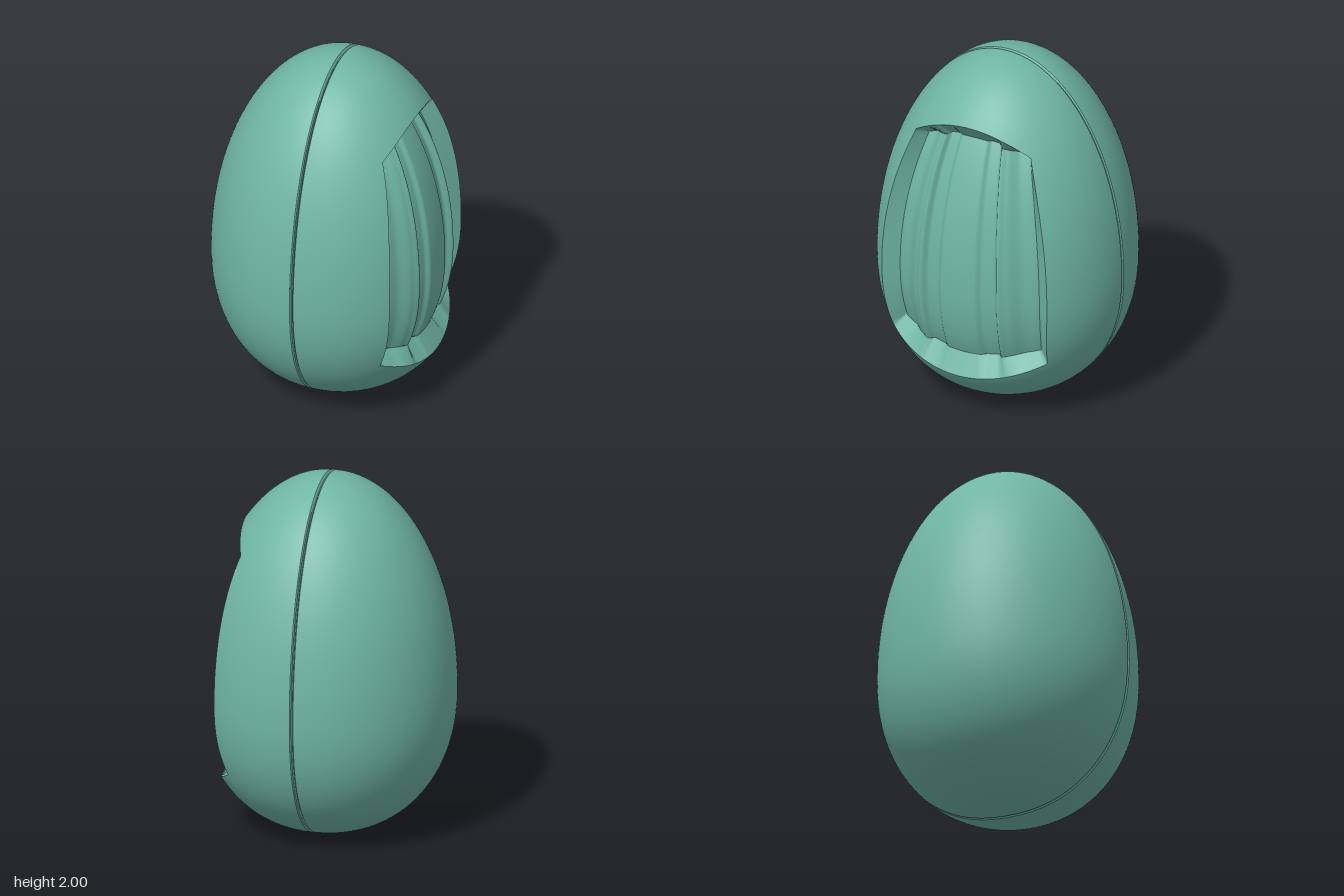
import * as THREE from 'three';

const { lerp } = THREE.MathUtils;
const SQUASH = 0.98;          // egg is slightly narrower in x
const LEFT_X = 0.05, RIGHT_X = 0.071; // open edges of the two halves
const MID_Y = 0.9;
const material = new THREE.MeshStandardMaterial({ color: 0x6fb5a5 });

// Egg radius at a height
function radius(y) {
  if (y <= 0 || y >= 2) return 0;
  return y < 0.8
    ? 0.703 * Math.pow(1 - Math.pow((0.8 - y) / 0.8, 2.2), 1 / 2.2)
    : 0.703 * Math.sqrt(1 - ((y - 0.8) / 1.2) ** 2);
}

// Distance of the egg surface from the split plane
const bulge = (y, z) => SQUASH * Math.sqrt(Math.max(0, radius(y) ** 2 - z * z));

// Smooth surface through rows of points; closed rows wrap around
function loft(name, rows, closed) {
  const n = rows[0].length, index = [];
  for (let i = 0; i < rows.length - 1; i++) {
    for (let k = 0; k < (closed ? n : n - 1); k++) {
      const a = i * n + k, a2 = i * n + (k + 1) % n;
      index.push(a, a + n, a2 + n, a, a2 + n, a2);
    }
  }
  const geometry = new THREE.BufferGeometry().setFromPoints(rows.flat());
  geometry.setIndex(index);
  geometry.computeVertexNormals();
  const mesh = new THREE.Mesh(geometry, material);
  mesh.name = name;
  return mesh;
}

// Four-sided outline with bowed edges: u runs across (-1..1), v runs up (0..1)
const RIM = { y0: 0.27, dy0: 0.13, y1: 1.73, dy1: 0.12, w0: 0.47, w1: 0.35, bow: 0.085 };
const FLOOR = { y0: 0.39, dy0: 0.06, y1: 1.64, dy1: 0.07, w0: 0.41, w1: 0.31, bow: 0.055 };
function patch(s, u, v) {
  const y = lerp(s.y0 + s.dy0 * u * u, s.y1 - s.dy1 * u * u, v);
  const z = u * (lerp(s.w0, s.w1, v) + s.bow * 4 * v * (1 - v));
  return { y, z };
}

// Depth of the ribbed floor below the egg surface
const RIBS = [[0, 0.13], [0.24, 0.13], [0.31, 0.148], [0.47, 0.148], [0.56, 0.105], [0.64, 0.115], [0.82, 0.14], [1, 0.13]];
function ribDepth(u) {
  const a = Math.abs(u);
  const i = Math.max(1, RIBS.findIndex(p => p[0] >= a - 1e-9));
  const [u0, d0] = RIBS[i - 1], [u1, d1] = RIBS[i];
  return lerp(d0, d1, THREE.MathUtils.smoothstep(a, u0, u1));
}
function floorPoint(u, v) {
  const { y, z } = patch(FLOOR, u, v);
  return new THREE.Vector3(RIGHT_X + bulge(y, z) - ribDepth(u), y, z);
}

// Point on the split outline, along the ray from the middle through (y, z)
function outlinePoint({ y, z }) {
  const length = Math.hypot(y - MID_Y, z);
  const dy = (y - MID_Y) / length, dz = z / length;
  let lo = 0, hi = 1.5;
  for (let i = 0; i < 40; i++) {
    const m = (lo + hi) / 2;
    if (radius(MID_Y + dy * m) > Math.abs(dz * m)) lo = m; else hi = m;
  }
  return { y: MID_Y + dy * lo, z: dz * lo };
}

export function createModel() {
  const group = new THREE.Group();
  group.name = 'splitEgg';

  // Perimeter of the recess: bottom, side, top, side
  const N = 50, edge = [];
  for (let side = 0; side < 4; side++) {
    for (let i = 0; i < N; i++) {
      const t = i / N;
      edge.push([[1 - 2 * t, 0], [-1, t], [2 * t - 1, 1], [1, 1 - t]][side]);
    }
  }
  const rim = edge.map(([u, v]) => patch(RIM, u, v));
  const outline = rim.map(outlinePoint);

  // Outer skin of the right-hand half, from the recess rim to the split
  const skin = [];
  for (let i = 0; i <= 30; i++) {
    const s = Math.sin(i / 30 * Math.PI / 2);
    skin.push(rim.map((p, k) => {
      const q = outline[k], y = lerp(p.y, q.y, s), z = lerp(p.z, q.z, s);
      return new THREE.Vector3(RIGHT_X + (i === 30 ? 0 : bulge(y, z)), y, z);
    }));
  }
  const front = new THREE.Group();
  front.name = 'recessedHalf';
  front.add(loft('recessedShell', skin, true));

  // Sloping wall of the recess
  front.add(loft('recessWall', [edge.map(([u, v]) => floorPoint(u, v)), skin[0]], true));

  // Ribbed floor of the recess
  const floor = [];
  for (let j = 0; j <= 50; j++) {
    const row = [];
    for (let i = 0; i <= 100; i++) row.push(floorPoint(1 - i / 50, 1 - j / 50));
    floor.push(row);
  }
  front.add(loft('ribbedFloor', floor, false));

  // Flat inner faces with a small chamfer at the split
  const ring = (x, scale) => outline.map(p =>
    new THREE.Vector3(x, MID_Y + (p.y - MID_Y) * scale, p.z * scale));
  front.add(loft('recessedHalfChamfer', [ring(RIGHT_X, 1), ring(0.065, 0.991)], true));
  front.add(loft('recessedHalfFace', [ring(0.065, 0.991), ring(0.065, 0)], true));

  // Plain half
  const back = new THREE.Group();
  back.name = 'plainHalf';
  const profile = [];
  for (let i = 0; i <= 80; i++) {
    const y = 1 - Math.cos(i / 80 * Math.PI);
    profile.push(new THREE.Vector2(radius(y), y));
  }
  const shell = new THREE.Mesh(new THREE.LatheGeometry(profile, 64, Math.PI, Math.PI), material);
  shell.name = 'plainShell';
  shell.scale.x = SQUASH;
  shell.position.x = LEFT_X;
  back.add(shell);
  back.add(loft('plainHalfChamfer', [ring(0.056, 0.991), ring(LEFT_X, 1)], true));
  back.add(loft('plainHalfFace', [ring(0.056, 0), ring(0.056, 0.991)], true));

  group.add(front, back);
  return group;
}
